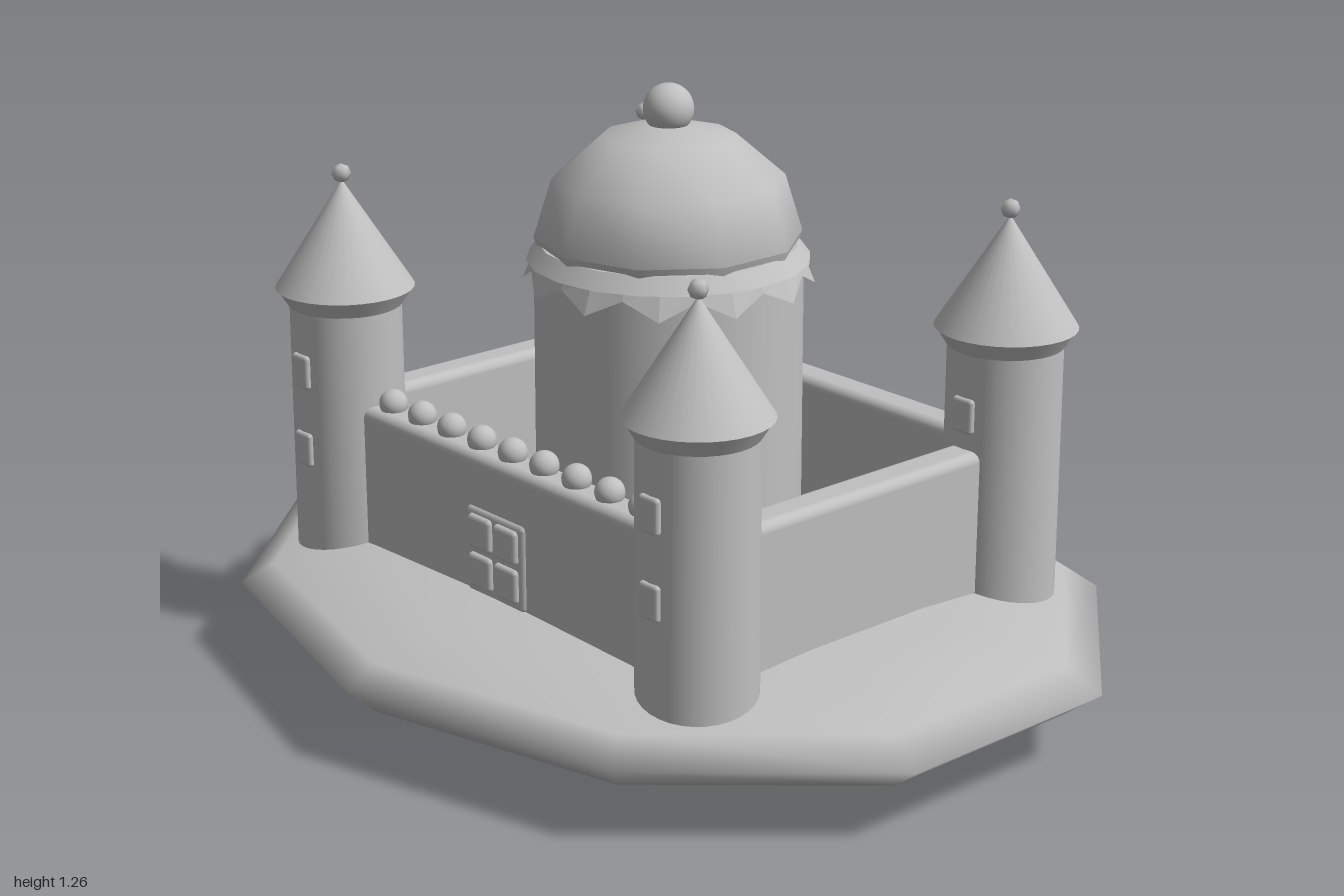
import * as THREE from 'three';
import { RoundedBoxGeometry } from 'three/addons/geometries/RoundedBoxGeometry.js';

const stone = new THREE.MeshStandardMaterial({ color: 0xc0c0c0, side: THREE.DoubleSide });
stone.name = 'grey stone';

const TX = 0.565, TZ = 0.425; // tower centres

function add(parent, name, geometry, x = 0, y = 0, z = 0) {
  const mesh = new THREE.Mesh(geometry, stone);
  mesh.name = name;
  mesh.position.set(x, y, z);
  parent.add(mesh);
  return mesh;
}

// Ten-sided half ellipsoid with a corner on the z axis
function halfShell(rx, ry, rz, upper, rings) {
  const start = upper ? 0 : Math.PI / 2;
  return new THREE.SphereGeometry(1, 10, rings, 0, Math.PI * 2, start, Math.PI / 2)
    .rotateY(Math.PI / 2).scale(rx, ry, rz);
}

function createTower(x, z) {
  const tower = new THREE.Group();
  tower.name = 'tower';
  tower.position.set(x, 0, z);
  add(tower, 'towerShaft', new THREE.CylinderGeometry(0.12, 0.122, 0.6, 32), 0, 0.47, 0);
  add(tower, 'towerCollar', new THREE.CylinderGeometry(0.147, 0.122, 0.04, 32), 0, 0.77, 0);
  add(tower, 'towerRoof', new THREE.ConeGeometry(0.149, 0.235, 32), 0, 0.905, 0);
  add(tower, 'roofKnob', new THREE.SphereGeometry(0.021, 6, 4), 0, 1.035, 0);
  for (const y of [0.445, 0.62]) {
    add(tower, 'towerWindow', new RoundedBoxGeometry(0.055, 0.075, 0.03, 2, 0.008), 0, y, 0.113);
  }
  return tower;
}

// Flared band of cloth points hanging under the dome
function zigzagSkirt(points) {
  const position = [], index = [], n = points * 2;
  for (let i = 0; i <= n; i++) {
    const a = (i / n) * Math.PI * 2, low = i % 2;
    const r = low ? 0.306 : 0.29, y = low ? 0.842 : 0.878;
    position.push(0.283 * Math.sin(a), 0.9, 0.283 * Math.cos(a));
    position.push(r * Math.sin(a), y, r * Math.cos(a));
    if (i < n) {
      const k = i * 2;
      index.push(k, k + 1, k + 2, k + 1, k + 3, k + 2);
    }
  }
  const geometry = new THREE.BufferGeometry();
  geometry.setAttribute('position', new THREE.Float32BufferAttribute(position, 3));
  geometry.setIndex(index);
  const flat = geometry.toNonIndexed();
  flat.computeVertexNormals();
  return flat;
}

function createKeep() {
  const keep = new THREE.Group();
  keep.name = 'keep';
  add(keep, 'keepDrum', new THREE.CylinderGeometry(0.282, 0.284, 0.7, 32), 0, 0.55, 0);
  add(keep, 'domeRing', new THREE.CylinderGeometry(0.272, 0.298, 0.035, 20), 0, 0.912, 0);
  add(keep, 'domeSkirt', zigzagSkirt(12));
  add(keep, 'dome', halfShell(0.281, 0.243, 0.281, true, 3), 0, 0.943, 0);
  add(keep, 'domeFoot', new THREE.CylinderGeometry(0.281, 0.272, 0.03, 10), 0, 0.928, 0);
  add(keep, 'domeBall', new THREE.SphereGeometry(0.053, 24, 16), 0, 1.209, 0);
  return keep;
}

function createGate() {
  const gate = new THREE.Group();
  gate.name = 'gate';
  add(gate, 'gateFrame', new RoundedBoxGeometry(0.19, 0.19, 0.03, 2, 0.012), 0, 0.34, 0.46);
  for (const x of [-0.042, 0.042]) {
    for (const y of [0.3, 0.385]) {
      add(gate, 'gatePanel', new RoundedBoxGeometry(0.074, 0.074, 0.025, 2, 0.01), x, y, 0.473);
    }
  }
  return gate;
}

export function createModel() {
  const castle = new THREE.Group();
  castle.name = 'castle';

  // Lens-shaped ground
  add(castle, 'groundTop', halfShell(1.051, 0.12, 0.85, true, 4), 0, 0.155, 0);
  add(castle, 'groundUnderside', halfShell(1.051, 0.155, 0.85, false, 4), 0, 0.155, 0);

  // Corner towers and the walls between them
  for (const s of [-1, 1]) {
    for (const t of [-1, 1]) castle.add(createTower(s * TX, t * TZ));
    add(castle, 'sideWall', new RoundedBoxGeometry(0.085, 0.36, TZ * 2, 3, 0.022), s * TX, 0.367, 0);
    add(castle, 'crossWall', new RoundedBoxGeometry(TX * 2, 0.36, 0.085, 3, 0.022), 0, 0.367, s * TZ);
  }

  // Round battlements on the front wall
  for (let i = -4; i <= 4; i++) {
    add(castle, 'battlement', new THREE.SphereGeometry(0.031, 16, 12), i * 0.1015, 0.56, 0.422);
  }

  castle.add(createKeep(), createGate());
  return castle;
}
